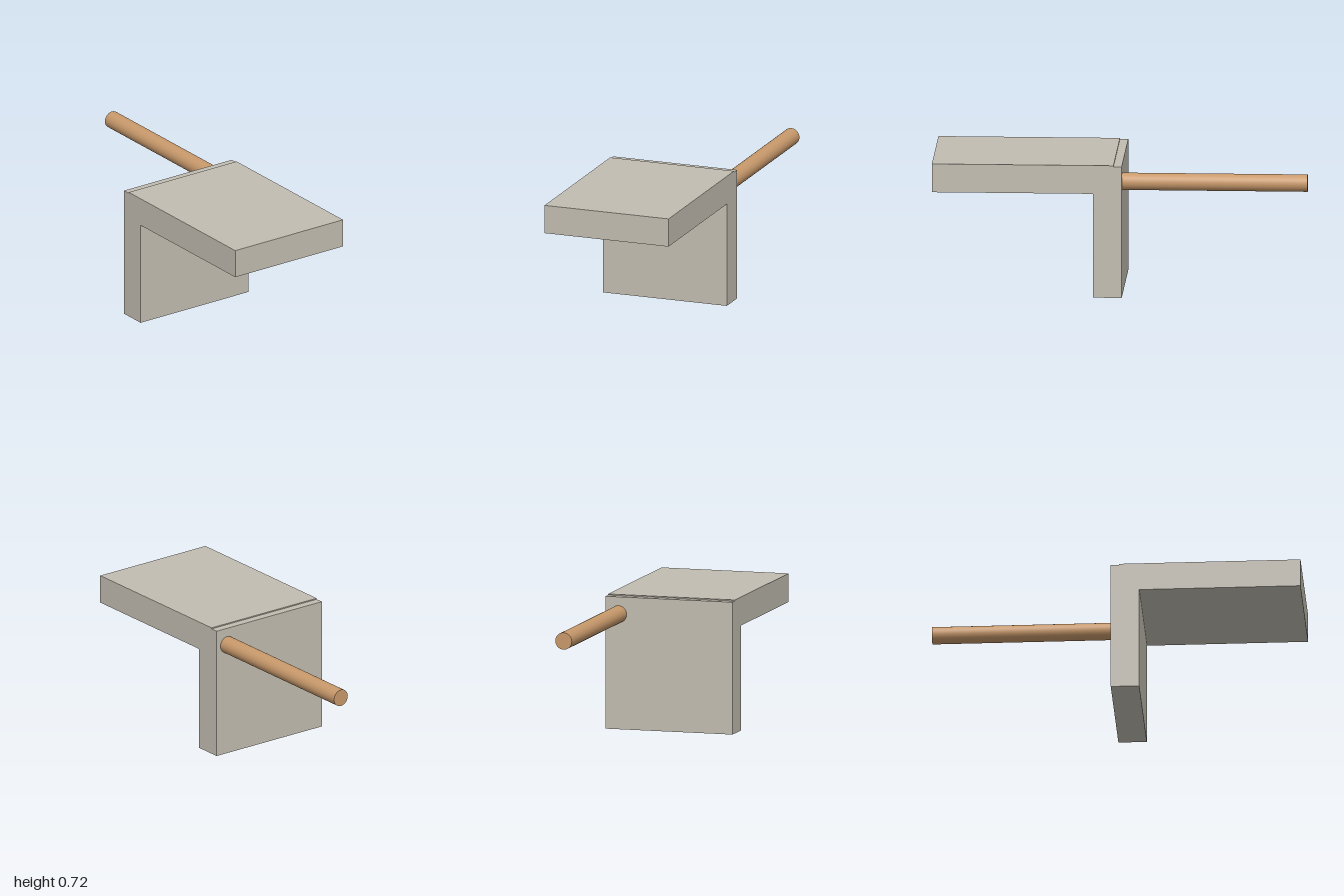
import * as THREE from 'three';

export function createModel() {
  const model = new THREE.Group();
  const stone = new THREE.MeshStandardMaterial({ color: 0xc2bdb1 });
  const wood = new THREE.MeshStandardMaterial({ color: 0xc8996b });

  // Slab and upright: one L-shaped side profile in (z, y), with a small step at the back of the top
  const width = 0.708;
  const profile = new THREE.Shape([
    [-0.012, 0], [0.14, 0], [0.14, 0.565], [1, 0.565],
    [1, 0.719], [0.032, 0.719], [0.032, 0.713], [-0.012, 0.713],
  ].map(([z, y]) => new THREE.Vector2(z, y)));
  const bracketGeometry = new THREE.ExtrudeGeometry(profile, { depth: width, bevelEnabled: false });
  bracketGeometry.translate(0, 0, -width / 2);
  bracketGeometry.rotateY(-Math.PI / 2); // profile x becomes z
  const bracket = new THREE.Mesh(bracketGeometry, stone);
  bracket.name = 'slabAndUpright';
  model.add(bracket);

  // Round rod reaching back from the upright
  const front = 0, back = -1;
  const rodGeometry = new THREE.CylinderGeometry(0.046, 0.046, front - back, 32);
  rodGeometry.rotateX(Math.PI / 2);
  const rod = new THREE.Mesh(rodGeometry, wood);
  rod.name = 'rod';
  rod.position.set(0.282, 0.62, (front + back) / 2);
  model.add(rod);

  return model;
}
